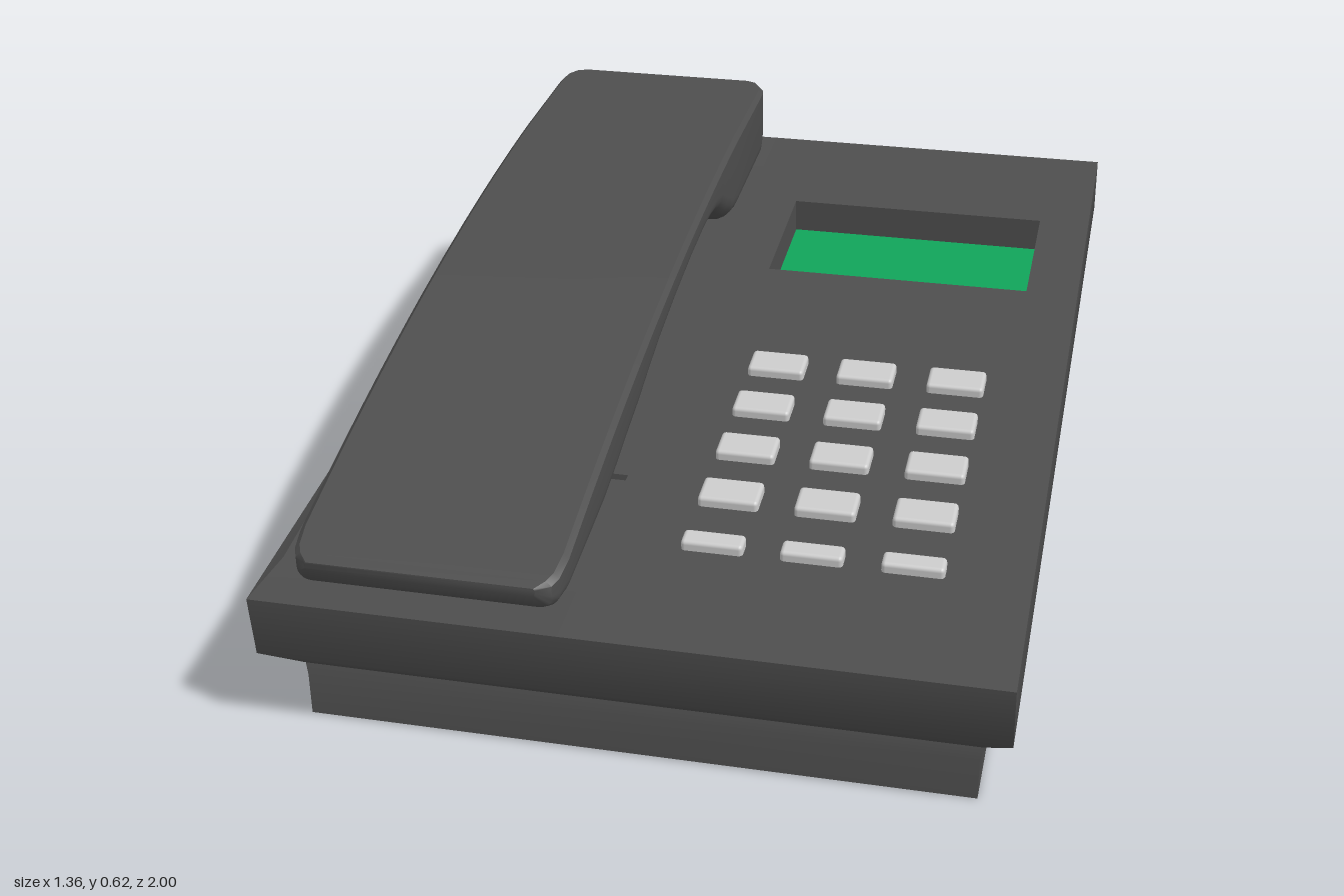
import * as THREE from 'three';
import { toCreasedNormals } from 'three/addons/utils/BufferGeometryUtils.js';
import { RoundedBoxGeometry } from 'three/addons/geometries/RoundedBoxGeometry.js';

const mat = (color) => new THREE.MeshStandardMaterial({ color, side: THREE.DoubleSide });
const dark = mat(0x4e4e4e), keyGrey = mat(0xcccccc), green = mat(0x10a459);

// Skin a list of rings of [x, y, z] points, with optional end caps
function loft(rings, { closed = true, startCap = false, endCap = false, crease = 0.9 } = {}) {
  const n = rings[0].length, index = [];
  for (let i = 0; i < rings.length - 1; i++) {
    for (let j = 0; j < (closed ? n : n - 1); j++) {
      const k = (j + 1) % n, a = i * n + j, b = i * n + k;
      index.push(a, b, b + n, a, b + n, a + n);
    }
  }
  const last = (rings.length - 1) * n;
  for (let j = 1; j < n - 1; j++) {
    if (startCap) index.push(0, j + 1, j);
    if (endCap) index.push(last, last + j, last + j + 1);
  }
  const g = new THREE.BufferGeometry();
  g.setAttribute('position', new THREE.Float32BufferAttribute(rings.flat(2), 3));
  g.setIndex(index);
  return toCreasedNormals(g, crease);
}

function add(parent, name, geometry, material, x = 0, y = 0, z = 0) {
  const m = new THREE.Mesh(geometry, material);
  m.name = name;
  m.position.set(x, y, z);
  parent.add(m);
  return m;
}

const rectShape = (Type, x0, x1, y0, y1) => new Type([
  new THREE.Vector2(x0, y0), new THREE.Vector2(x1, y0),
  new THREE.Vector2(x1, y1), new THREE.Vector2(x0, y1)]);

// Base: narrow foot flaring out to a sloped rim
function baseGeometry() {
  // half width, front z, front y, back z, back y
  const levels = [
    [0.62, 0.91, 0, -0.915, 0],
    [0.62, 0.91, 0.085, -0.915, 0.235],
    [0.625, 0.905, 0.108, -0.92, 0.255],
    [0.68, 0.985, 0.175, -1, 0.335],
    [0.68, 1, 0.3, -0.985, 0.46],
  ];
  return loft(levels.map(([w, zf, yf, zb, yb]) =>
    [[w, yf, zf], [w, yb, zb], [-w, yb, zb], [-w, yf, zf]]), { startCap: true });
}

// Cradle strip beside the panel, with shallow dips under both ends of the handset
function cradleGeometry(halfLength) {
  const profile = [[-halfLength, 0], [-0.78, -0.03], [-0.5, -0.022], [-0.499, 0],
    [0.499, 0], [0.5, -0.012], [0.83, -0.028], [halfLength, 0]];
  return loft(profile.map(([z, d]) =>
    [[-0.11, 0, z], [-0.11, d, z], [-0.68, d, z], [-0.68, 0, z]]),
  { closed: false, crease: 0.3 });
}

// Handset: arched back, two deep cups and a thin grip between them
function handsetGeometry() {
  const topAt = (z) => 0.625 - 0.263 * ((z + 0.92) / 1.875) ** 2;
  // z, underside y, half width
  const stations = [
    [-0.925, 0.485, 0.21], [-0.915, 0.465, 0.232], [-0.89, 0.447, 0.246], [-0.86, 0.438, 0.25],
    [-0.58, 0.42, 0.25], [-0.53, 0.427, 0.25], [-0.47, 0.455, 0.25], [-0.41, 0.49, 0.25],
    [-0.36, 0.511, 0.25], [-0.3, 0.522, 0.25], [-0.22, 0.523, 0.25], [-0.1, 0.51, 0.25],
    [0.05, 0.483, 0.25], [0.18, 0.452, 0.25], [0.27, 0.422, 0.25], [0.35, 0.39, 0.25],
    [0.45, 0.362, 0.25], [0.54, 0.337, 0.25], [0.62, 0.318, 0.25], [0.72, 0.305, 0.25],
    [0.87, 0.297, 0.25], [0.915, 0.302, 0.245], [0.935, 0.312, 0.236], [0.955, 0.345, 0.212],
  ];
  const rings = stations.map(([z, bottom, w]) => {
    const top = topAt(z), h = top - bottom;
    const c = Math.min(0.01, h * 0.2), r = Math.min(0.055, h * 0.45);
    const ring = [[w, top - c, z], [w - c, top, z], [c - w, top, z], [-w, top - c, z]];
    for (const side of [-1, 1]) {
      for (let i = 0; i <= 5; i++) {
        const a = (side < 0 ? i : 5 - i) / 5 * Math.PI / 2;
        ring.push([side * (w - r + r * Math.cos(a)), bottom + r - r * Math.sin(a), z]);
      }
    }
    return ring;
  });
  return loft(rings, { startCap: true, endCap: true, crease: 0.7 });
}

export function createModel() {
  const model = new THREE.Group();
  model.name = 'deskTelephone';
  add(model, 'base', baseGeometry(), dark);

  // Everything on the sloped top lives in one tilted group
  const top = new THREE.Group();
  top.name = 'slopedTop';
  top.position.set(0, 0.38, 0.0075);
  top.rotation.x = Math.atan2(0.16, 1.985);
  model.add(top);
  const halfLength = Math.hypot(0.16, 1.985) / 2;

  // Flat panel with the display opening
  const sx0 = 0, sx1 = 0.57, sz0 = -0.67, sz1 = -0.34, depth = 0.075;
  const panel = rectShape(THREE.Shape, -0.11, 0.68, -halfLength, halfLength);
  panel.holes.push(rectShape(THREE.Path, sx0, sx1, -sz1, -sz0));
  add(top, 'topPanel', new THREE.ShapeGeometry(panel).rotateX(-Math.PI / 2), dark);

  // Sunken display
  const rim = (y) => [[sx0, y, sz1], [sx0, y, sz0], [sx1, y, sz0], [sx1, y, sz1]];
  add(top, 'displayRecess', loft([rim(-depth), rim(0)]), dark);
  add(top, 'displayScreen', new THREE.PlaneGeometry(sx1 - sx0, sz1 - sz0).rotateX(-Math.PI / 2),
    green, (sx0 + sx1) / 2, -depth, (sz0 + sz1) / 2);

  add(top, 'handsetCradle', cradleGeometry(halfLength), dark);

  // Keypad: four rows of keys and a row of slim ones
  const keypad = new THREE.Group();
  keypad.name = 'keypad';
  top.add(keypad);
  const bigKey = new RoundedBoxGeometry(0.115, 0.036, 0.073, 2, 0.008);
  const slimKey = new RoundedBoxGeometry(0.115, 0.036, 0.042, 2, 0.008);
  [0.07, 0.225, 0.38, 0.537, 0.692].forEach((z, row) => {
    for (const x of [0.1, 0.283, 0.467]) {
      add(keypad, row < 4 ? 'key' : 'functionKey', row < 4 ? bigKey : slimKey, keyGrey, x, 0.002, z);
    }
  });

  add(model, 'handset', handsetGeometry(), dark, -0.372);
  return model;
}
